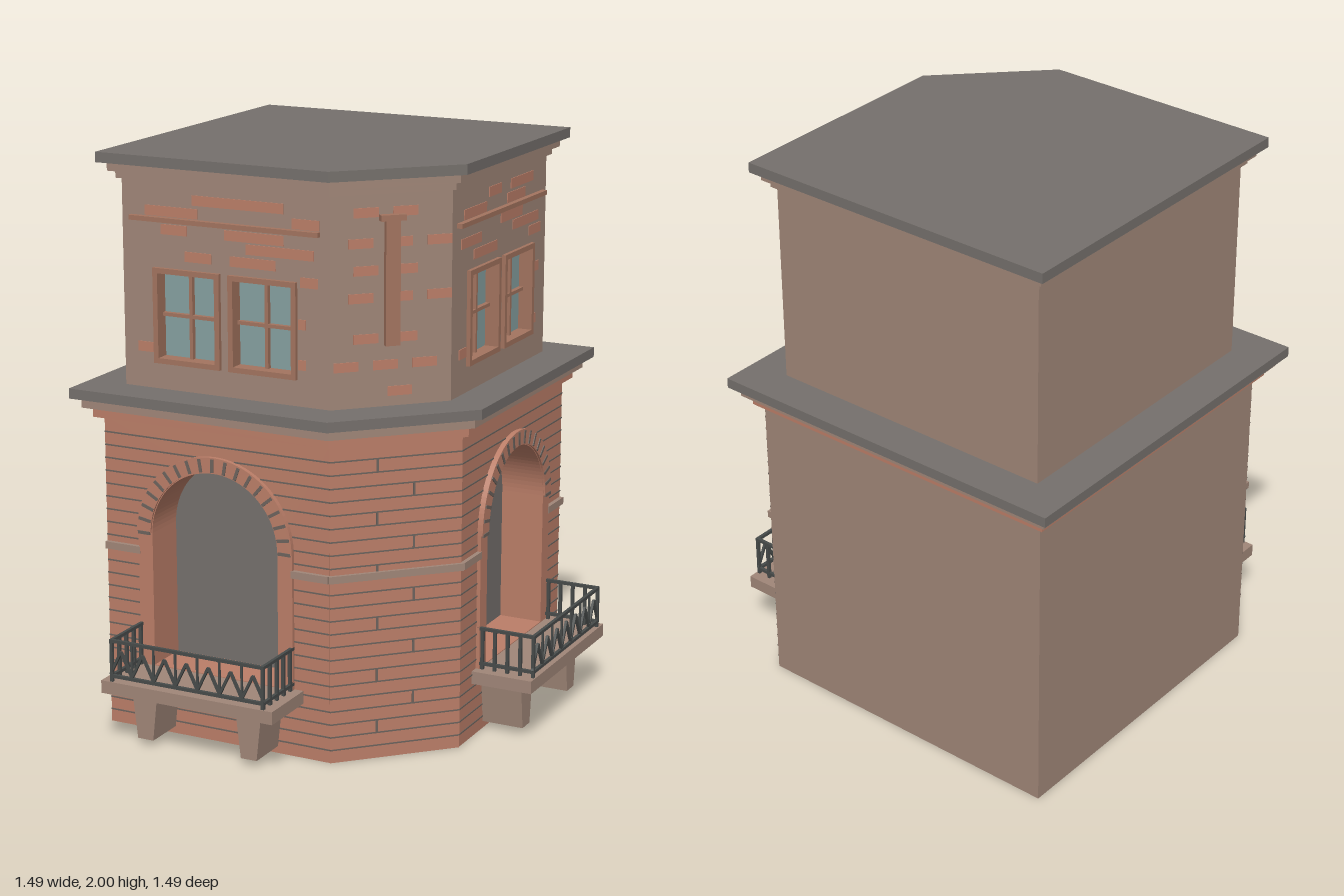
import * as THREE from 'three';

const mat = (name, color) => Object.assign(new THREE.MeshStandardMaterial({ color }), { name });
const brick = mat('brick', 0xbb7e68);
const stone = mat('stone', 0xa08678);
const slate = mat('slate', 0x75706c);
const mortar = mat('mortar', 0x6c635d);
const iron = mat('iron', 0x474b4a);
const frameMat = mat('window frame', 0xa3745f);
const glass = mat('glass', 0x86a0a0);

function add(parent, name, geometry, material, x = 0, y = 0, z = 0) {
  const m = new THREE.Mesh(geometry, material);
  m.name = name;
  m.position.set(x, y, z);
  parent.add(m);
  return m;
}
const box = (parent, name, material, w, h, d, x, y, z) =>
  add(parent, name, new THREE.BoxGeometry(w, h, d), material, x, y, z);

const poly = (pts) => new THREE.Shape(pts.map(([x, y]) => new THREE.Vector2(x, y)));
const rect = (x0, y0, x1, y1) => poly([[x0, y0], [x1, y0], [x1, y1], [x0, y1]]);
const extrude = (shape, depth) =>
  new THREE.ExtrudeGeometry(shape, { depth, bevelEnabled: false, curveSegments: 24 });

// Plan outline with a cut front-right corner, extruded upwards
function storey(parent, name, material, pts, y0, y1) {
  const g = extrude(poly(pts.map(([x, z]) => [x, -z])), y1 - y0).rotateX(-Math.PI / 2);
  add(parent, name, g, material, 0, y0, 0);
}
function outline({ min, max, cut }, d) {
  const a = min - d, b = max + d, c = cut + 0.414 * d;
  return [[a, a], [a, b], [c, b], [b, c], [b, a]];
}
// Same plan, with the front and right walls set back to take the pierced wall plates
function coreOutline({ min, max, cut }, dep) {
  const s = max - dep;
  return [[min, min], [min, s], [cut, s], [cut, max], [max, cut], [s, cut], [s, min]];
}

// Round-headed outline
const ARCH_Y = 0.715, SILL_Y = 0.24;
function archShape(r, y0 = SILL_Y) {
  const s = new THREE.Shape();
  s.moveTo(-r, y0);
  s.lineTo(r, y0);
  s.lineTo(r, ARCH_Y);
  s.absarc(0, ARCH_Y, r, 0, Math.PI, false);
  s.lineTo(-r, y0);
  return s;
}

// Groups standing on the front, right and corner walls; local +z points outwards
function wallGroup(parent, name, x, z, angle) {
  const g = new THREE.Group();
  g.name = name;
  g.position.set(x, 0, z);
  g.rotation.y = angle;
  parent.add(g);
  return g;
}

const ROW = 0.0455;
const LOWER = { min: -0.66, max: 0.52, cut: 0.195 };
const UPPER = { min: -0.605, max: 0.465, cut: 0.17 };

function balcony(g) {
  box(g, 'balconySlab', stone, 0.656, 0.045, 0.22, 0, 0.2175, 0.11);
  for (const s of [-1, 1]) {
    const bracket = poly([[-0.03, 0.025], [0.03, 0.025], [0.049, 0.195], [-0.049, 0.195]]);
    add(g, 'balconyBracket', extrude(bracket, 0.15), stone, s * 0.2, 0, 0);
  }
  const W = 0.295, Z = 0.21, T = 0.011;
  for (const y of [0.26, 0.385]) {
    box(g, 'frontRail', iron, 2 * W, T, T, 0, y, Z);
    for (const s of [-1, 1]) box(g, 'sideRail', iron, T, T, Z, s * (W - T / 2), y, Z / 2);
  }
  for (const s of [-1, 1])
    for (const z of [0.022, 0.068, 0.115, 0.162, Z])
      box(g, 'sideBaluster', iron, T, 0.15, T, s * (W - T / 2), 0.315, z);
  // Zigzag bars between slim uprights
  const n = 7, step = (2 * W) / n, rise = 0.085;
  for (let i = 0; i < n; i++) {
    const x = -W + (i + 0.5) * step;
    if (i) box(g, 'frontBaluster', iron, 0.007, 0.125, 0.007, x - step / 2, 0.322, Z);
    for (const s of [-1, 1]) {
      const bar = box(g, 'zigzagBar', iron, 0.009, Math.hypot(step / 2, rise), 0.009, x + s * step / 4, 0.265 + rise / 2, Z);
      bar.rotation.z = s * Math.atan2(step / 2, rise);
    }
  }
}

function lowerFacade(g) {
  const H = 0.4275, DEP = 0.15;
  const wall = rect(-H, 0, H, 1.1);
  wall.holes.push(archShape(0.255));
  add(g, 'brickWall', extrude(wall, DEP), [brick, stone], 0, 0, -DEP);
  const surround = archShape(0.295);
  surround.holes.push(archShape(0.24, SILL_Y + 0.003));
  add(g, 'archSurround', extrude(surround, DEP + 0.013), brick, 0, 0, -DEP);
  add(g, 'recessPanel', extrude(archShape(0.25), 0.005), slate, 0, 0, -DEP + 0.001);
  // Raised arch ring with dark radial joints
  const ring = new THREE.Shape();
  ring.absarc(0, ARCH_Y, 0.297, 0, Math.PI, false);
  ring.absarc(0, ARCH_Y, 0.243, Math.PI, 0, true);
  add(g, 'archRing', extrude(ring, 0.01), brick, 0, 0, 0.01);
  for (let i = 0; i <= 18; i++) {
    const a = (i / 18) * Math.PI;
    const joint = box(g, 'archJoint', mortar, 0.046, 0.011, 0.006, 0.269 * Math.cos(a), ARCH_Y + 0.269 * Math.sin(a), 0.02);
    joint.rotation.z = a;
  }
  // Mortar courses stop at the arch surround
  for (let y = ROW; y < 1.09; y += ROW) {
    const gap = y < SILL_Y ? 0 : y < ARCH_Y ? 0.295 : Math.sqrt(Math.max(0, 0.295 ** 2 - (y - ARCH_Y) ** 2));
    for (const s of [-1, 1])
      box(g, 'mortarCourse', mortar, H - gap, 0.005, 0.003, s * (H + gap) / 2, y, 0.001);
  }
  for (const s of [-1, 1])
    box(g, 'stringCourse', stone, H - 0.29, 0.025, 0.03, s * (H + 0.29) / 2, 0.647, 0);
  balcony(g);
}

function lowerCorner(g) {
  box(g, 'cornerBrick', brick, 0.46, 1.1, 0.004, 0, 0.55, 0.001);
  for (let y = ROW, i = 0; y < 1.09; y += ROW, i++) {
    box(g, 'mortarCourse', mortar, 0.46, 0.005, 0.003, 0, y, 0.003);
    if (i % 2) box(g, 'mortarJoint', mortar, 0.008, ROW, 0.003, i % 4 === 1 ? -0.066 : 0.062, y + ROW / 2, 0.003);
  }
  box(g, 'stringCourse', stone, 0.472, 0.025, 0.03, 0, 0.647, 0);
}

function upperFacade(g, patches) {
  const H = 0.3875, DEP = 0.05, W = 0.126, Y0 = 1.295, Y1 = 1.62, mid = (Y0 + Y1) / 2;
  const wall = rect(-H, 1.2, H, 1.915);
  for (const x of [-0.1425, 0.1425]) wall.holes.push(rect(x - W + 0.01, Y0 + 0.01, x + W - 0.01, Y1 - 0.01));
  add(g, 'upperWall', extrude(wall, DEP), stone, 0, 0, -DEP);
  for (const x of [-0.1425, 0.1425]) {
    const frame = rect(-W, Y0, W, Y1);
    frame.holes.push(rect(-W + 0.018, Y0 + 0.018, W - 0.018, Y1 - 0.018));
    add(g, 'windowFrame', extrude(frame, DEP + 0.014), frameMat, x, 0, -DEP);
    box(g, 'windowGlass', glass, 2 * W - 0.02, Y1 - Y0 - 0.02, 0.006, x, mid, -0.04);
    box(g, 'windowMullion', frameMat, 0.012, Y1 - Y0 - 0.02, 0.02, x, mid, -0.03);
    box(g, 'windowTransom', frameMat, 2 * W - 0.02, 0.012, 0.02, x, mid, -0.03);
  }
  box(g, 'wallLedge', frameMat, 0.705, 0.016, 0.04, 0, 1.783, 0);
  for (const [u0, u1, y] of patches)
    box(g, 'exposedBrick', brick, u1 - u0, 0.034, 0.004, (u0 + u1) / 2, y, 0.001);
}

function upperCorner(g) {
  box(g, 'cornerStrip', frameMat, 0.05, 0.43, 0.04, 0, 1.625, 0);
  box(g, 'cornerStripCap', frameMat, 0.085, 0.02, 0.05, 0, 1.832, 0);
  // Staggered rows of exposed bricks
  const rows = [[1.345, 3], [1.255, 1], [1.435, 2], [1.57, 3], [1.66, 2], [1.75, 3], [1.85, 2]];
  rows.forEach(([y, n], r) => {
    for (let i = 0; i < n; i++) {
      const x = (i - (n - 1) / 2) * 0.135 + (r % 2 ? 0.03 : -0.02);
      box(g, 'exposedBrick', brick, 0.085, 0.032, 0.004, x, y, 0.001);
    }
  });
}

export function createModel() {
  const model = new THREE.Group();
  model.name = 'cornerBuilding';

  // Storeys and stepped cornices
  storey(model, 'lowerStorey', stone, coreOutline(LOWER, 0.15), 0, 1.1);
  storey(model, 'lowerCorniceBrick', brick, outline(LOWER, 0.028), 1.1, 1.135);
  storey(model, 'lowerCorniceStone', stone, outline(LOWER, 0.055), 1.135, 1.17);
  storey(model, 'lowerCorniceTop', slate, outline(LOWER, 0.085), 1.17, 1.205);
  storey(model, 'upperStorey', stone, coreOutline(UPPER, 0.05), 1.2, 1.91);
  storey(model, 'upperCorniceLow', stone, outline(UPPER, 0.015), 1.91, 1.935);
  storey(model, 'upperCorniceHigh', stone, outline(UPPER, 0.035), 1.935, 1.965);
  storey(model, 'roof', slate, outline(UPPER, 0.062), 1.965, 2);

  const q = Math.PI / 2;
  const lc = (LOWER.min + LOWER.cut) / 2, uc = (UPPER.min + UPPER.cut) / 2;
  lowerFacade(wallGroup(model, 'lowerFront', lc, LOWER.max, 0));
  lowerFacade(wallGroup(model, 'lowerRight', LOWER.max, lc, q));
  upperFacade(wallGroup(model, 'upperFront', uc, UPPER.max, 0), [
    [-0.12, 0.22, 1.855], [-0.3, -0.1, 1.81], [0.25, 0.35, 1.81], [-0.24, -0.14, 1.75], [0.0, 0.22, 1.75],
    [0.08, 0.33, 1.71], [-0.15, -0.05, 1.665], [0.02, 0.19, 1.665], [0.28, 0.345, 1.62],
    [0.272, 0.3, 1.48], [-0.335, -0.272, 1.345], [0.272, 0.3, 1.345]]);
  upperFacade(wallGroup(model, 'upperRight', UPPER.max, uc, q), [
    [-0.1, 0.0, 1.855], [0.08, 0.27, 1.855], [-0.3, -0.12, 1.81], [0.05, 0.2, 1.81], [-0.32, -0.16, 1.715],
    [0.0, 0.18, 1.75], [0.1, 0.32, 1.71], [-0.22, -0.03, 1.665], [0.24, 0.34, 1.665],
    [0.272, 0.33, 1.53], [-0.33, -0.272, 1.345], [0.272, 0.31, 1.345]]);

  const l = (LOWER.max + LOWER.cut) / 2, u = (UPPER.max + UPPER.cut) / 2;
  lowerCorner(wallGroup(model, 'lowerCorner', l, l, q / 2));
  upperCorner(wallGroup(model, 'upperCorner', u, u, q / 2));
  return model;
}
